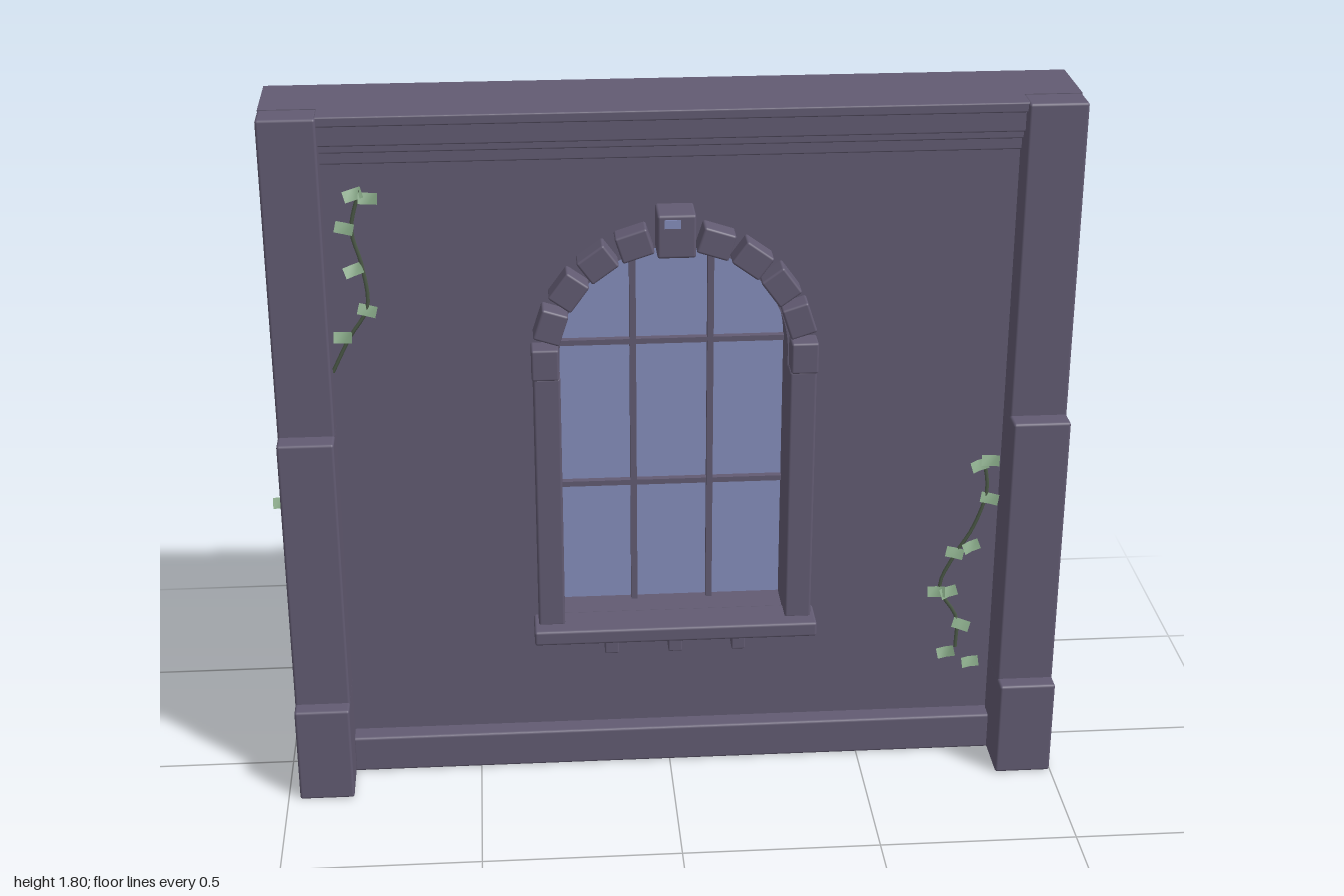
import * as THREE from 'three';
import { RoundedBoxGeometry } from 'three/addons/geometries/RoundedBoxGeometry.js';

const mat = (name, color, side = THREE.FrontSide) => {
  const m = new THREE.MeshStandardMaterial({ color, side });
  m.name = name;
  return m;
};

export function createModel() {
  const root = new THREE.Group();
  root.name = 'wallWithArchedWindow';
  const stone = mat('stone', 0x625b72);
  const glass = mat('glass', 0x868ebc, THREE.DoubleSide);
  const leafGreen = mat('leafGreen', 0x86a886, THREE.DoubleSide);
  const stemGreen = mat('stemGreen', 0x4c5a48);

  const CX = 0.014, R = 0.285, SPRING = 1.15, SILL = 0.42, FACE = 0.01;
  const LEFT = -0.97, RIGHT = 0.998;

  const add = (name, geo, material, parent = root) => {
    const m = new THREE.Mesh(geo, material);
    m.name = name;
    parent.add(m);
    return m;
  };
  // Box given by its limits, with softened edges when r > 0
  const block = (name, x0, x1, y0, y1, z0, z1, r = 0.007, material = stone) => {
    const s = [x1 - x0, y1 - y0, z1 - z0];
    const geo = r ? new RoundedBoxGeometry(...s, 2, r) : new THREE.BoxGeometry(...s);
    const m = add(name, geo, material);
    m.position.set((x0 + x1) / 2, (y0 + y1) / 2, (z0 + z1) / 2);
    return m;
  };
  // Round-headed window outline
  const archOutline = (path) => {
    path.moveTo(CX - R, SILL);
    path.lineTo(CX + R, SILL);
    path.lineTo(CX + R, SPRING);
    path.absarc(CX, SPRING, R, 0, Math.PI, false);
    path.lineTo(CX - R, SILL);
    return path;
  };

  // Wall slab with the window opening
  const slab = new THREE.Shape([
    new THREE.Vector2(LEFT, 0), new THREE.Vector2(RIGHT, 0),
    new THREE.Vector2(RIGHT, 1.8), new THREE.Vector2(LEFT, 1.8),
  ]);
  slab.holes.push(archOutline(new THREE.Path()));
  const wall = add('wall', new THREE.ExtrudeGeometry(slab, { depth: 0.2, bevelEnabled: false, curveSegments: 24 }), stone);
  wall.position.z = -0.19;

  // Glass and glazing bars
  const pane = add('windowGlass', new THREE.ShapeGeometry(archOutline(new THREE.Shape()), 24), glass);
  pane.position.z = -0.09;
  for (const dx of [-0.098, 0.098]) {
    const top = SPRING + Math.sqrt(R * R - dx * dx);
    block('verticalBar', CX + dx - 0.008, CX + dx + 0.008, SILL, top, -0.088, -0.068, 0);
  }
  for (const y of [0.76, 1.153]) block('horizontalBar', CX - R, CX + R, y - 0.007, y + 0.007, -0.088, -0.07, 0);

  // Stepped pilasters
  for (const [x0, x1] of [[LEFT, -0.83], [0.853, RIGHT]]) {
    block('pilasterBase', x0, x1, 0, 0.26, FACE, 0.187);
    block('pilasterMiddle', x0, x1, 0.25, 0.99, FACE, 0.145);
    block('pilasterTop', x0, x1, 0.98, 1.8, FACE, 0.093);
  }

  // Skirting and stepped cornice
  block('skirting', -0.835, 0.858, 0, 0.1, 0, 0.06);
  for (const [y0, y1, z] of [[1.668, 1.705, 0.03], [1.7, 1.728, 0.045], [1.722, 1.78, 0.062], [1.775, 1.8, 0.08]])
    block('corniceStep', -0.835, 0.858, y0, y1, 0, z, 0.004);

  // Window surround: jambs, sill and brackets
  for (const s of [-1, 1]) {
    const a = CX + s * R, b = CX + s * 0.353;
    block('jamb', Math.min(a, b), Math.max(a, b), 0.42, 1.115, 0, 0.065);
  }
  block('sill', CX - 0.365, CX + 0.365, 0.385, 0.425, 0, 0.107);
  for (const dx of [-0.165, 0, 0.165])
    block('sillBracket', CX + dx - 0.018, CX + dx + 0.018, 0.335, 0.39, 0, 0.07, 0.004);

  // Arch stones and keystone
  const stoneGeo = new RoundedBoxGeometry(0.068, 0.082, 0.065, 2, 0.006);
  for (let i = 0; i <= 10; i++) {
    if (i === 5) continue;
    const a = (i * Math.PI) / 10;
    const v = add('archStone', stoneGeo, stone);
    v.position.set(CX + 0.322 * Math.cos(a), SPRING + 0.322 * Math.sin(a), 0.035);
    v.rotation.z = a;
  }
  block('keystone', CX - 0.047, CX + 0.047, 1.435, 1.545, 0, 0.1);
  block('keystoneInlay', CX - 0.03, CX + 0.01, 1.512, 1.534, 0.097, 0.102, 0, glass);

  // Ivy: a thin stem with small folded leaves
  const leafGeo = new THREE.PlaneGeometry(0.046, 0.028, 2, 1);
  const p = leafGeo.attributes.position;
  for (let i = 0; i < p.count; i++) if (Math.abs(p.getX(i)) < 0.001) p.setZ(i, -0.008);
  leafGeo.computeVertexNormals();
  const ivy = (name, stem, leaves) => {
    const g = new THREE.Group();
    g.name = name;
    root.add(g);
    const curve = new THREE.CatmullRomCurve3(stem.map(([x, y]) => new THREE.Vector3(x, y, 0.018)));
    add('ivyStem', new THREE.TubeGeometry(curve, 24, 0.005, 5), stemGreen, g);
    leaves.forEach(([x, y], i) => {
      const l = add('ivyLeaf', leafGeo, leafGreen, g);
      l.position.set(x, y, 0.03);
      l.rotation.set(-0.35, 0.2 * Math.cos(i * 2), 0.35 * Math.sin(i * 2.3 + 1));
    });
  };
  ivy('upperIvy',
    [[-0.83, 1.13], [-0.785, 1.22], [-0.737, 1.3], [-0.745, 1.41], [-0.765, 1.5], [-0.742, 1.6]],
    [[-0.757, 1.592], [-0.722, 1.582], [-0.782, 1.508], [-0.765, 1.4], [-0.737, 1.295], [-0.8, 1.225]]);
  ivy('lowerIvy',
    [[0.81, 0.84], [0.822, 0.75], [0.79, 0.64], [0.745, 0.56], [0.712, 0.47], [0.76, 0.38], [0.762, 0.29]],
    [[0.798, 0.825], [0.825, 0.838], [0.828, 0.73], [0.788, 0.592], [0.745, 0.575], [0.702, 0.462],
      [0.735, 0.46], [0.772, 0.362], [0.735, 0.28], [0.802, 0.248]]);

  // Lone leaf peeping out at the side
  const sideLeaf = add('sideLeaf', leafGeo, leafGreen);
  sideLeaf.position.set(-0.977, 0.777, 0.022);
  sideLeaf.rotation.x = -0.35;

  return root;
}
